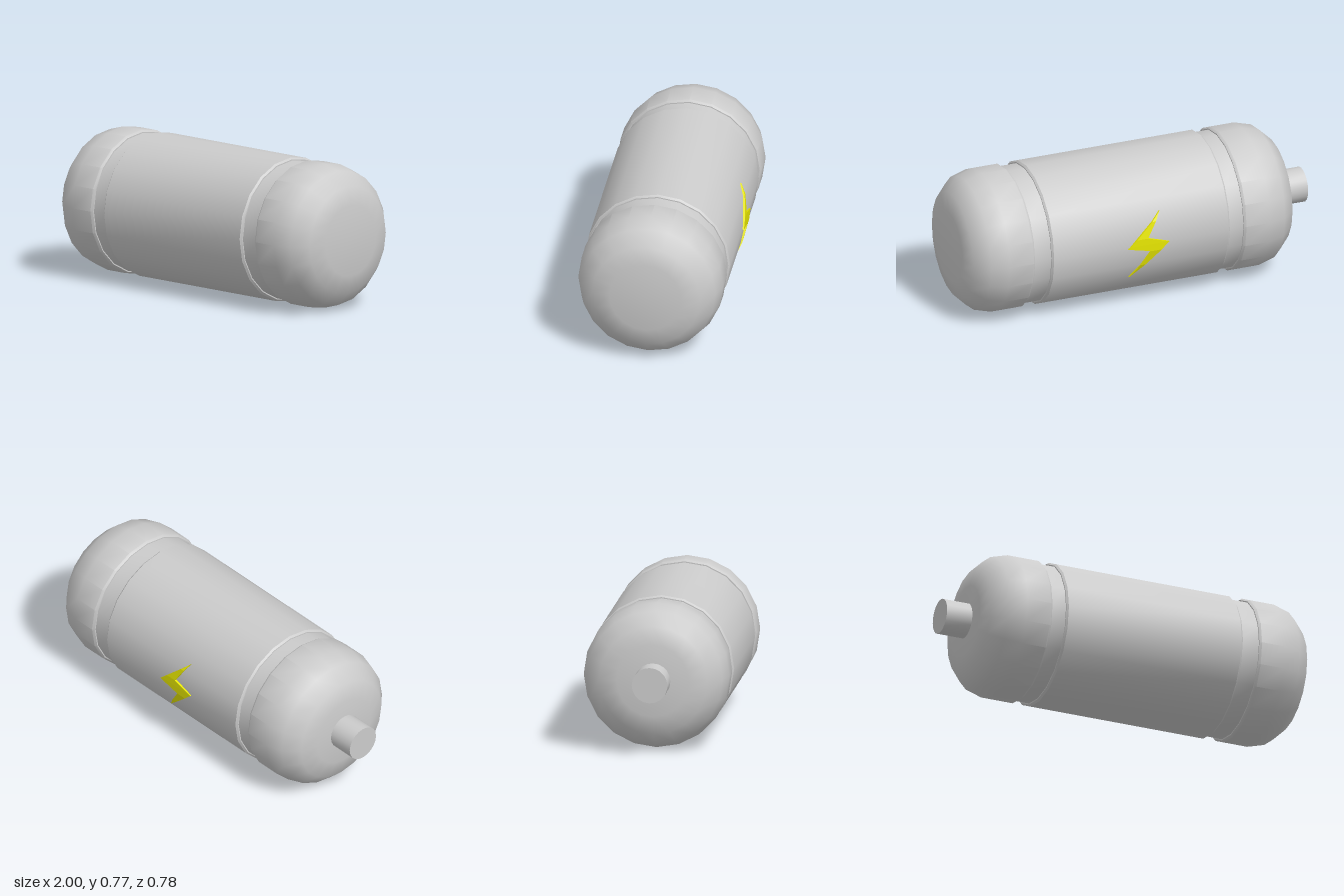
import * as THREE from 'three';
import { toCreasedNormals } from 'three/addons/utils/BufferGeometryUtils.js';

const R = 0.384, GROOVE = 0.369, SIDES = 20;
const AXIS_Y = 0.385, AXIS_Z = 0.0035;

export function createModel() {
  const group = new THREE.Group();
  const grey = new THREE.MeshStandardMaterial({ color: 0xcccccc });
  const yellow = new THREE.MeshStandardMaterial({ color: 0xe6e600, flatShading: true });

  // Turns a profile of [x, radius] points around the horizontal axis
  const turned = (name, profile) => {
    const lathe = new THREE.LatheGeometry(profile.map(([x, r]) => new THREE.Vector2(r, x)), SIDES);
    lathe.rotateZ(-Math.PI / 2);
    const mesh = new THREE.Mesh(toCreasedNormals(lathe, 0.7), grey);
    mesh.name = name;
    mesh.position.set(0, AXIS_Y, AXIS_Z);
    group.add(mesh);
  };

  // Rounded end caps: the same profile, mirrored about the middle of the tank
  const MID = 0.0725;
  const cap = [[0.9275, 0], [0.9275, 0.19], [0.905, 0.286], [0.832, 0.358], [0.738, R],
    [0.604, R], [0.592, R - 0.009], [0.592, GROOVE]];
  turned('leftCap', cap.map(([d, r]) => [MID + d, r]).reverse());
  turned('rightCap', cap.map(([d, r]) => [MID - d, r]));

  // Central barrel with small bevels
  turned('barrel', [[-0.44, GROOVE], [-0.44, R - 0.009], [-0.43, R],
    [0.56, R], [0.57, R - 0.009], [0.57, GROOVE]]);

  // Recessed bands between barrel and caps
  turned('leftBand', [[0.56, GROOVE], [0.67, GROOVE]]);
  turned('rightBand', [[-0.53, GROOVE], [-0.43, GROOVE]]);

  // Stub terminal
  turned('terminal', [[-1, 0], [-1, 0.094], [-0.85, 0.094]]);

  // Lightning emblem wrapped over the back: rows of [y, z, xMin, xMax], top to bottom
  const rows = [
    [0.55, -0.346, -0.05, -0.05],
    [0.504, -0.371, -0.021, 0.0],
    [0.42, -0.387, 0.03, 0.091],
    [0.385, -0.388, -0.09, 0.129],
    [0.375, -0.388, -0.079, 0.14],
    [0.345, -0.388, -0.048, 0.01],
    [0.266, -0.37, 0.036, 0.065],
    [0.19, -0.335, 0.117, 0.117],
  ];
  const pos = [];
  const quad = (a, b, c, d) => pos.push(...a, ...b, ...c, ...a, ...c, ...d);
  const inner = ([x, y, z]) => [x, y, z + 0.02];
  for (let i = 0; i < rows.length - 1; i++) {
    const [y0, z0, a0, b0] = rows[i], [y1, z1, a1, b1] = rows[i + 1];
    const A = [a0, y0, z0], B = [b0, y0, z0], C = [b1, y1, z1], D = [a1, y1, z1];
    quad(A, B, C, D);
    quad(B, inner(B), inner(C), C);
    quad(inner(A), A, D, inner(D));
  }
  const boltGeo = new THREE.BufferGeometry();
  boltGeo.setAttribute('position', new THREE.Float32BufferAttribute(pos, 3));
  boltGeo.computeVertexNormals();
  const bolt = new THREE.Mesh(boltGeo, yellow);
  bolt.name = 'lightningEmblem';
  group.add(bolt);

  return group;
}
